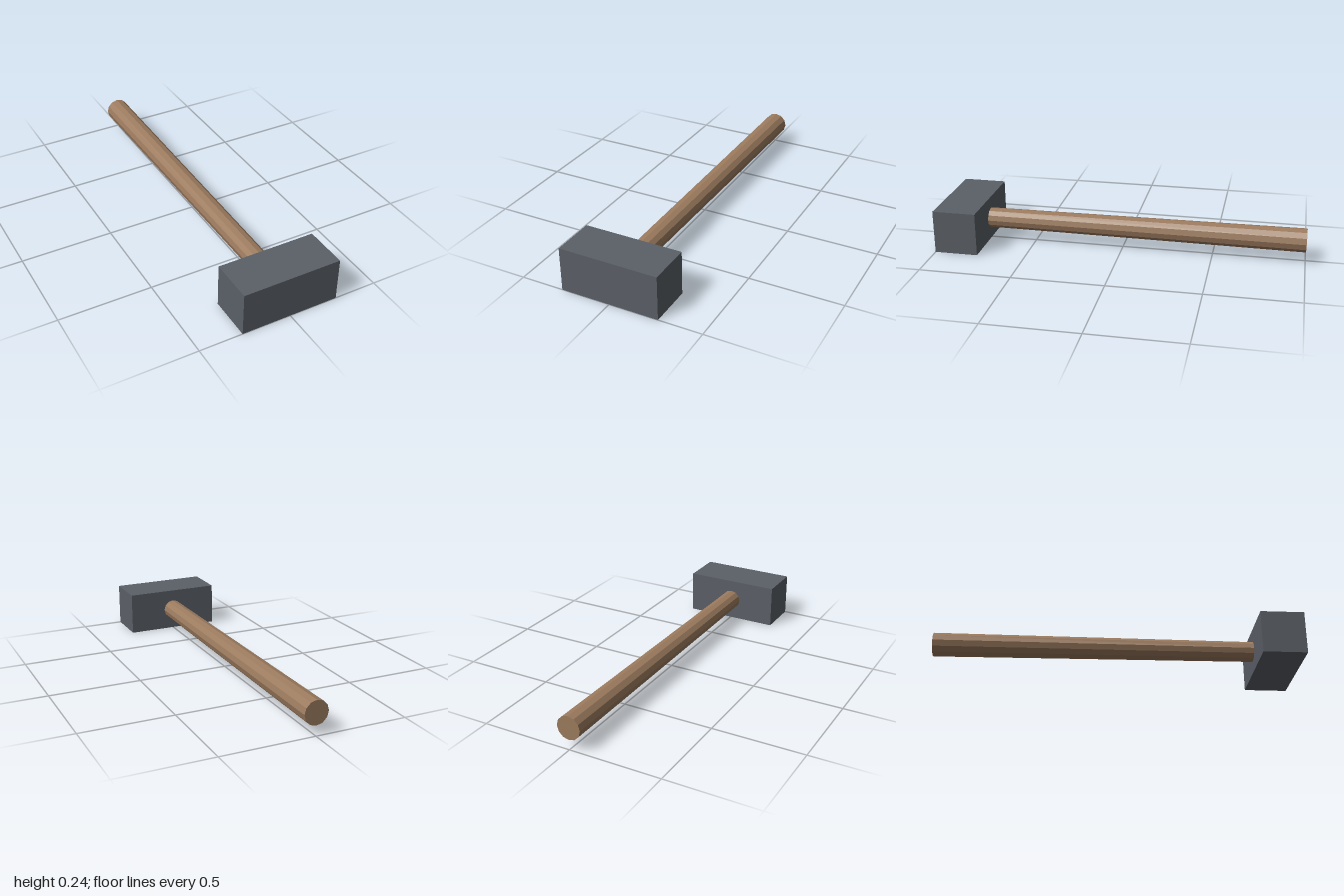
import * as THREE from 'three';

const HEAD = { width: 0.534, height: 0.238, depth: 0.238 };

export function createModel() {
  const iron = new THREE.MeshStandardMaterial({ color: 0x5b6067 });
  iron.name = 'iron grey';
  const wood = new THREE.MeshStandardMaterial({ color: 0x9c7b5e, flatShading: true });
  wood.name = 'wood brown';

  const hammer = new THREE.Group();
  hammer.name = 'hammer';

  // Block head at the front end
  const head = new THREE.Mesh(new THREE.BoxGeometry(HEAD.width, HEAD.height, HEAD.depth), iron);
  head.name = 'head';
  head.position.set(0, HEAD.height / 2, 1 - HEAD.depth / 2);
  hammer.add(head);

  // Twelve-sided handle, thicker at the grip, its thin end set into the head
  const frontZ = 0.85;
  const length = frontZ + 1;
  const handleGeometry = new THREE.CylinderGeometry(0.055, 0.065, length, 12);
  handleGeometry.rotateX(Math.PI / 2);
  const handle = new THREE.Mesh(handleGeometry, wood);
  handle.name = 'handle';
  handle.position.set(0, HEAD.height / 2, frontZ - length / 2);
  hammer.add(handle);

  return hammer;
}
